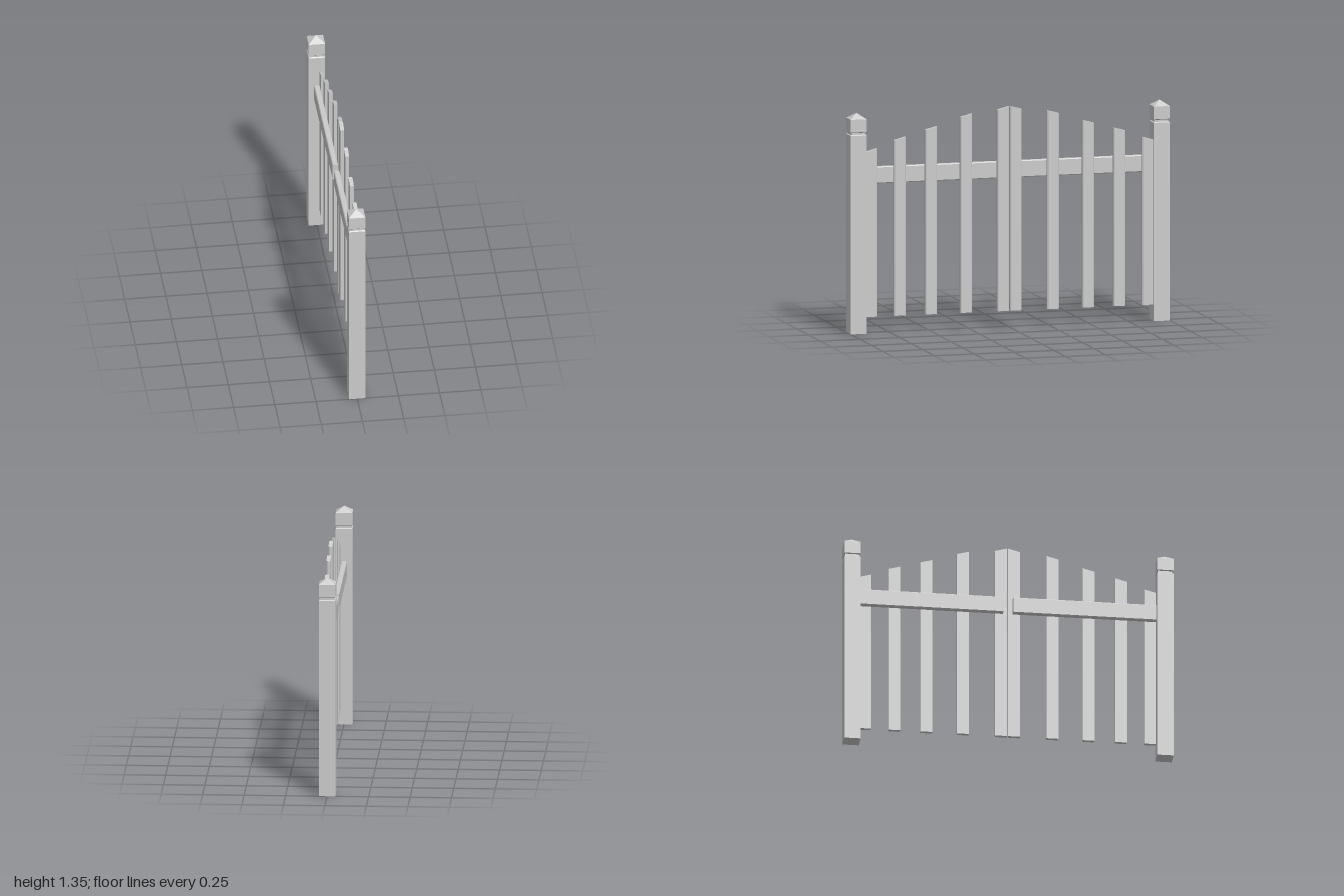
import * as THREE from 'three';

const material = new THREE.MeshStandardMaterial({ color: 0xcccccc, flatShading: true });

function part(name, geometry) {
  const mesh = new THREE.Mesh(geometry, material);
  mesh.name = name;
  return mesh;
}

// Polygon outline extruded without bevel
function prism(points, depth) {
  const shape = new THREE.Shape(points.map(([x, y]) => new THREE.Vector2(x, y)));
  return new THREE.ExtrudeGeometry(shape, { depth, bevelEnabled: false });
}

// Square post with a necked, pyramid-topped cap
function createPost(z) {
  const profile = [
    [0, 0], [0.05, 0], [0.05, 1.207], [0.044, 1.212], [0.044, 1.224],
    [0.05, 1.229], [0.05, 1.306], [0, 1.34],
  ].map(([r, y]) => new THREE.Vector2(r * Math.SQRT2, y));
  const post = part('post', new THREE.LatheGeometry(profile, 4, Math.PI / 4));
  post.position.z = z;
  return post;
}

// Vertical slat, outer corners chamfered, top sloping down away from the centre
function createPicket(side, inner, top) {
  const bottom = 0.1, width = 0.073, slope = 0.27, c = 0.006;
  const x0 = 0.017, x1 = 0.041;
  const geometry = prism([
    [x0, -width / 2], [x1 - c, -width / 2], [x1, -width / 2 + c],
    [x1, width / 2 - c], [x1 - c, width / 2], [x0, width / 2],
  ], 1);
  geometry.rotateX(-Math.PI / 2);
  const p = geometry.attributes.position;
  for (let i = 0; i < p.count; i++) {
    const z = p.getZ(i);
    const isTop = p.getY(i) > 0.5;
    p.setY(i, isTop ? top - slope * (side * z + width / 2) : bottom);
  }
  geometry.computeVertexNormals();
  const picket = part('picket', geometry);
  picket.position.z = side * (inner + width / 2);
  return picket;
}

// Horizontal rail with chamfered long edges
function createRail(side) {
  const x = 0.017, y0 = 0.907, y1 = 1.009, c = 0.005;
  const rail = part('rail', prism([
    [-x + c, y0], [x - c, y0], [x, y0 + c], [x, y1 - c],
    [x - c, y1], [-x + c, y1], [-x, y1 - c], [-x, y0 + c],
  ], 0.875));
  rail.position.z = side > 0 ? 0.03 : -0.905;
  return rail;
}

export function createModel() {
  const gate = new THREE.Group();
  gate.name = 'picketGate';
  // Inner edge and peak height of each picket in one leaf
  const pickets = [
    [0.003, 1.345], [0.235, 1.31], [0.455, 1.242], [0.65, 1.187], [0.83, 1.123],
  ];
  for (const side of [1, -1]) {
    const leaf = new THREE.Group();
    leaf.name = side > 0 ? 'frontLeaf' : 'backLeaf';
    leaf.add(createRail(side));
    for (const [inner, top] of pickets) leaf.add(createPicket(side, inner, top));
    gate.add(leaf, createPost(side * 0.95));
  }
  return gate;
}
